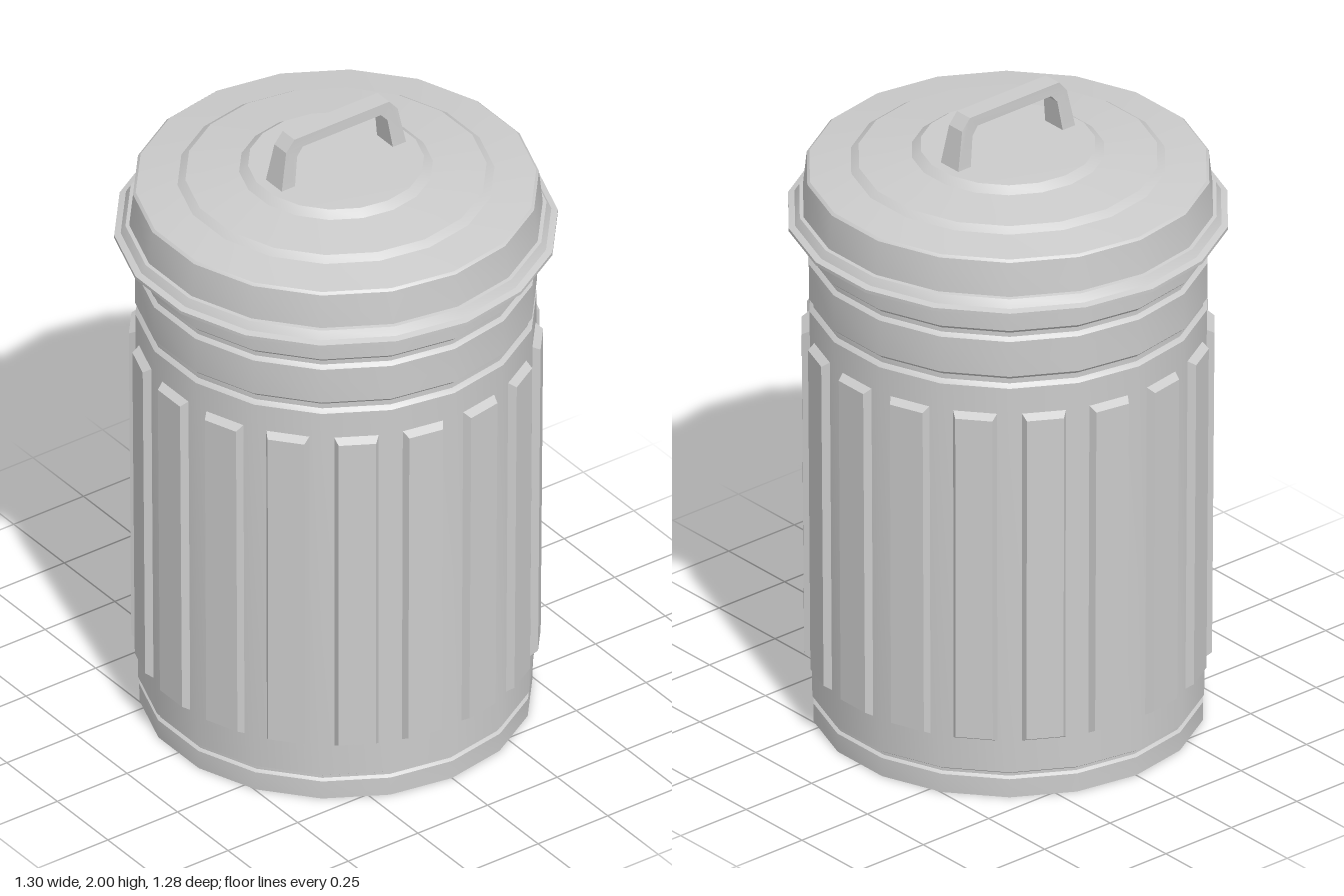
import * as THREE from 'three';
import { toCreasedNormals } from 'three/addons/utils/BufferGeometryUtils.js';

const SIDES = 18;
const STEP = (Math.PI * 2) / SIDES;
const material = new THREE.MeshStandardMaterial({ color: 0xcccccc });

function mesh(name, geometry, crease = 0.45) {
  const m = new THREE.Mesh(toCreasedNormals(geometry, crease), material);
  m.name = name;
  return m;
}

// 18-sided turned shape with a flat side facing the front
function turned(name, profile, crease) {
  const points = profile.map(([r, y]) => new THREE.Vector2(r, y));
  return mesh(name, new THREE.LatheGeometry(points, SIDES, STEP / 2), crease);
}

// Raised panel: a box whose outer face is drawn in on all four edges
function ribGeometry() {
  const g = new THREE.BoxGeometry(0.144, 1.1, 0.04);
  const p = g.attributes.position;
  for (let i = 0; i < p.count; i++) {
    if (p.getZ(i) > 0) p.setXY(i, p.getX(i) * 0.76, p.getY(i) * 0.955);
  }
  g.rotateX(0.007);
  g.translate(0, 0.725, 0.576);
  return g;
}

function createHandle() {
  // Half of the arch as [z, y], outside then inside
  const outer = [[0.225, 1.835], [0.2, 1.965], [0.17, 2]];
  const inner = [[0.14, 1.965], [0.162, 1.94], [0.177, 1.835]];
  const mirror = (pts) => pts.map(([z, y]) => [-z, y]).reverse();
  const outline = [...outer, ...mirror(outer), ...mirror(inner), ...inner];
  const shape = new THREE.Shape(outline.map(([z, y]) => new THREE.Vector2(z, y)));
  const g = new THREE.ExtrudeGeometry(shape, { depth: 1, bevelEnabled: false });

  // The feet are wider than the grip
  const p = g.attributes.position;
  for (let i = 0; i < p.count; i++) {
    const t = Math.min(1, (p.getY(i) - 1.835) / 0.13);
    const half = THREE.MathUtils.lerp(0.04, 0.029, t);
    p.setZ(i, p.getZ(i) > 0.5 ? half : -half);
  }
  g.rotateY(Math.PI / 2);
  return mesh('handle', g, 0.3);
}

export function createModel() {
  const bin = new THREE.Group();
  bin.name = 'trashCan';

  // Can wall with a groove at the foot and two below the lid
  bin.add(turned('body', [
    [0, 0], [0.574, 0], [0.575, 0.06], [0.566, 0.067], [0.566, 0.076], [0.578, 0.084],
    [0.586, 1.35], [0.574, 1.362], [0.574, 1.378], [0.587, 1.39],
    [0.588, 1.505], [0.576, 1.516], [0.576, 1.53], [0.589, 1.542], [0.59, 1.63],
  ]));

  // One raised rib on each side of the can
  const ribs = new THREE.Group();
  ribs.name = 'ribs';
  const rib = ribGeometry();
  for (let i = 0; i < SIDES; i++) {
    const r = mesh('rib', rib);
    r.rotation.y = i * STEP;
    ribs.add(r);
  }
  bin.add(ribs);

  // Lid with flared rim, upright band and stepped top
  const lid = new THREE.Group();
  lid.name = 'lid';
  lid.add(turned('lidShell', [
    [0.58, 1.612], [0.625, 1.612], [0.648, 1.62], [0.648, 1.63], [0.629, 1.636],
    [0.615, 1.66], [0.604, 1.662], [0.593, 1.768], [0.585, 1.775],
    [0.463, 1.792], [0.44, 1.808], [0.283, 1.826], [0.257, 1.845], [0, 1.847],
  ], 0.36));
  lid.add(createHandle());
  bin.add(lid);

  return bin;
}
